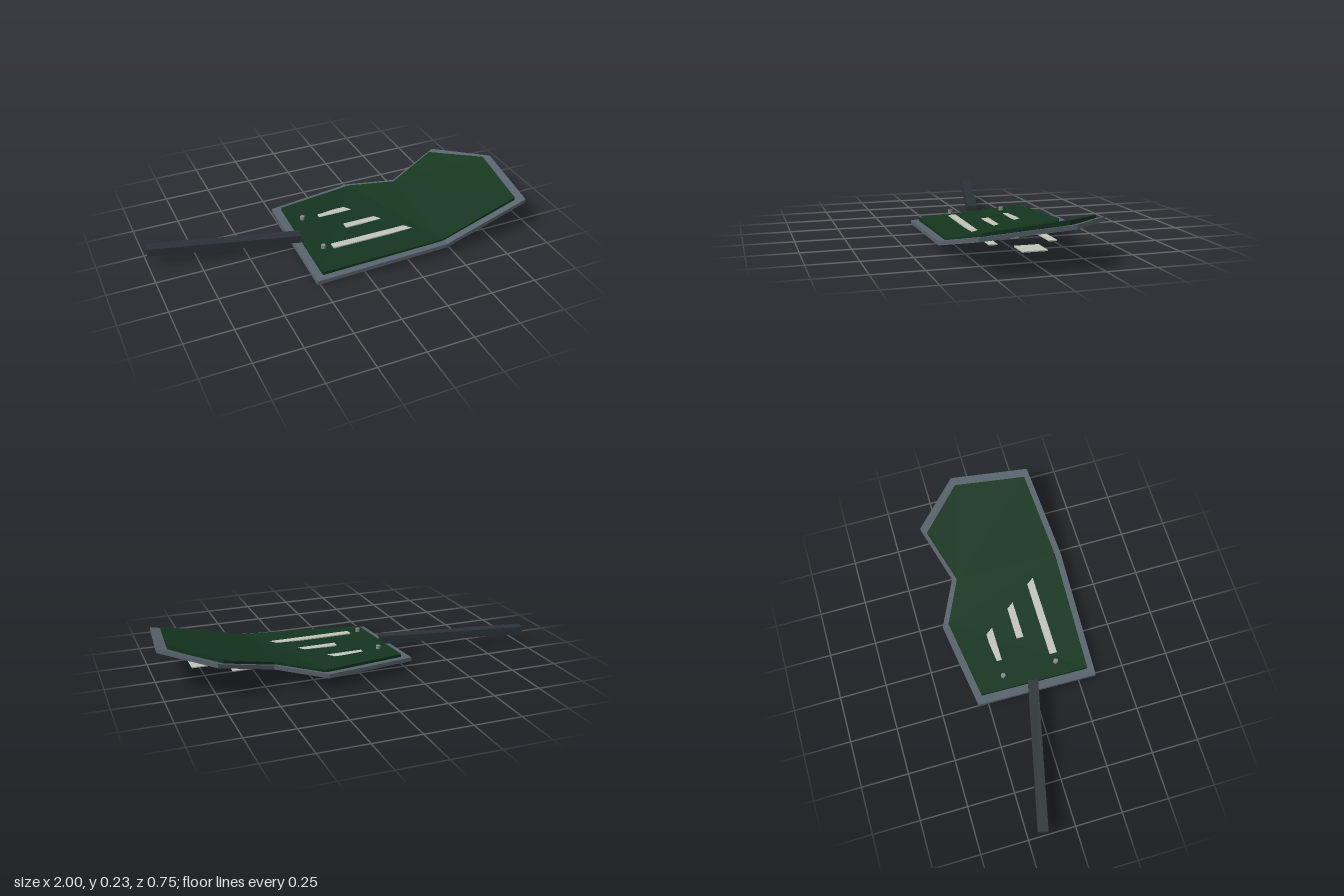
import * as THREE from 'three';

const mat = (color) => new THREE.MeshStandardMaterial({ color, flatShading: true });

// Faceted split of the eight-cornered outline, clockwise seen from above
const FACETS = [[0, 1, 7], [7, 1, 6], [1, 2, 6], [2, 3, 4], [2, 4, 5], [2, 5, 6]];

// Bent slab: corners are [x, z, bottomY, topY]
function bentSlab(corners) {
  const pos = [], index = [], n = corners.length;
  corners.forEach(([x, z, bottom]) => pos.push(x, bottom, z));
  corners.forEach(([x, z, , top]) => pos.push(x, top, z));
  for (const [a, b, c] of FACETS) index.push(a, b, c, a + n, c + n, b + n);
  for (let i = 0; i < n; i++) {
    const j = (i + 1) % n;
    index.push(i, i + n, j + n, i, j + n, j);
  }
  const geo = new THREE.BufferGeometry();
  geo.setAttribute('position', new THREE.Float32BufferAttribute(pos, 3));
  geo.setIndex(index);
  const flat = geo.toNonIndexed();
  flat.computeVertexNormals();
  return flat;
}

export function createModel() {
  const model = new THREE.Group();
  const add = (name, geo, material) => {
    const mesh = new THREE.Mesh(geo, material);
    mesh.name = name;
    model.add(mesh);
    return mesh;
  };

  // Grey base plate, curling up towards +x
  const base = [
    [-0.265, -0.305, 0.047], [0.21, -0.375, 0.05], [0.455, -0.255, 0.087], [0.755, -0.35, 0.174],
    [1.0, -0.11, 0.197], [0.96, 0.32, 0.16], [0.46, 0.37, 0.04], [-0.265, 0.345, 0],
  ];
  add('basePlate', bentSlab(base.map(([x, z, y]) => [x, z, y, y + 0.021])), mat(0x59646e));

  // Green panel set in from the rim
  const panel = [
    [-0.22, -0.275, 0.082], [0.215, -0.34, 0.083], [0.445, -0.23, 0.115], [0.72, -0.32, 0.197],
    [0.945, -0.1, 0.228], [0.91, 0.29, 0.188], [0.45, 0.335, 0.071], [-0.22, 0.31, 0.042],
  ];
  add('greenPanel', bentSlab(panel.map(([x, z, y]) => [x, z, y - 0.022, y])), mat(0x14361f));

  // Level pale strips that pass through the rising plate: [x0, x1, z0, z1]
  const pale = mat(0xc4c6ba);
  const strips = [
    [-0.06, 0.64, -0.16, -0.12], [0.035, 0.53, -0.01, 0.028],
    [-0.1, 0.64, 0.135, 0.175], [0.7, 0.82, -0.045, 0.075],
  ];
  strips.forEach(([x0, x1, z0, z1], i) => {
    const strip = add(i < 3 ? 'strip' : 'squarePad', new THREE.BoxGeometry(x1 - x0, 0.006, z1 - z0), pale);
    strip.position.set((x0 + x1) / 2, 0.069, (z0 + z1) / 2);
  });

  // Small studs near the handle
  for (const z of [-0.138, 0.152]) {
    add('stud', new THREE.CylinderGeometry(0.013, 0.013, 0.02, 8), mat(0x858a90)).position.set(-0.15, 0.08, z);
  }

  // Straight square handle, angled back and slightly up
  const inner = new THREE.Vector3(-0.22, 0.069, 0.006);
  const outer = new THREE.Vector3(-0.993, 0.086, -0.173);
  const handle = add('handle', new THREE.BoxGeometry(0.054, 0.042, inner.distanceTo(outer)), mat(0x2b3238));
  handle.position.copy(inner).add(outer).multiplyScalar(0.5);
  handle.lookAt(outer);

  return model;
}
